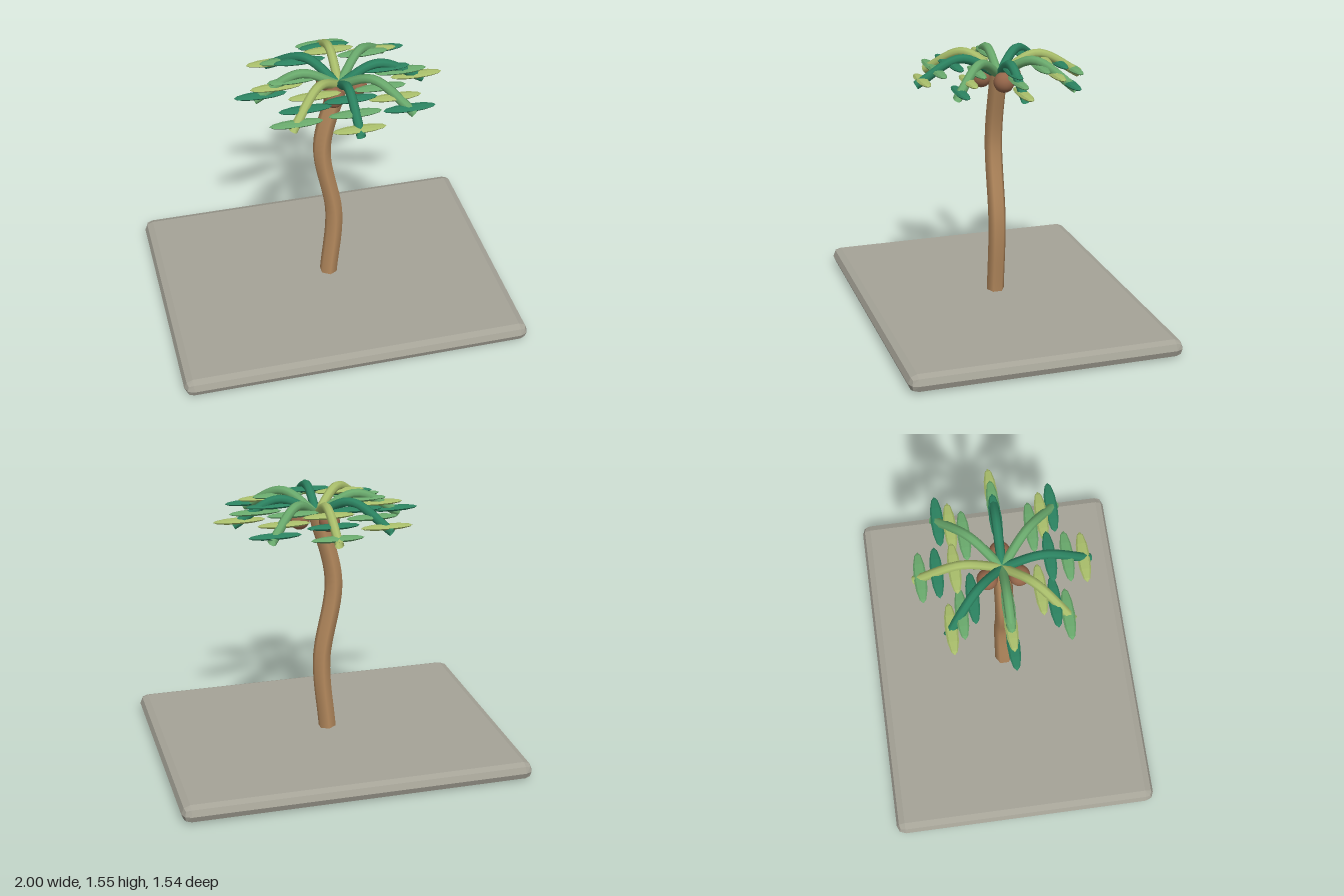
import * as THREE from 'three';
import { RoundedBoxGeometry } from 'three/addons/geometries/RoundedBoxGeometry.js';

const material = (name, color, side = THREE.FrontSide) => {
  const m = new THREE.MeshStandardMaterial({ color, side });
  m.name = name;
  return m;
};

const flat = (geometry) => {
  const g = geometry.index ? geometry.toNonIndexed() : geometry;
  g.computeVertexNormals();
  return g;
};

const curve = (points) =>
  new THREE.CatmullRomCurve3(points.map(([x, y]) => new THREE.Vector3(x, y, 0)));

export function createModel() {
  const model = new THREE.Group();
  model.name = 'palmTree';

  const stone = material('stone', 0xa5a397);
  const bark = material('bark', 0xb58a5e, THREE.DoubleSide);
  const husk = material('husk', 0x95664a);
  const greens = [
    material('darkGreen', 0x2b8260, THREE.DoubleSide),
    material('midGreen', 0x69a96c, THREE.DoubleSide),
    material('lightGreen', 0xa8bd6a, THREE.DoubleSide),
  ];

  const add = (parent, name, geometry, mat, x = 0, y = 0, z = 0) => {
    const mesh = new THREE.Mesh(geometry, mat);
    mesh.name = name;
    mesh.position.set(x, y, z);
    parent.add(mesh);
    return mesh;
  };

  // Ground slab with chamfered edges
  add(model, 'base', flat(new RoundedBoxGeometry(2, 0.1, 1.544, 1, 0.05)), stone, 0, 0.05, 0);

  // S-curved six-sided trunk
  const trunkPath = curve([[0, 0.113], [0.033, 0.54], [-0.037, 1.02], [0.06, 1.43]]);
  add(model, 'trunk', new THREE.TubeGeometry(trunkPath, 32, 0.052, 6), bark);

  // Crown, centred over the top of the trunk
  const crown = new THREE.Group();
  crown.name = 'crown';
  crown.position.x = 0.06;
  model.add(crown);

  // Three coconuts
  const nut = new THREE.SphereGeometry(0.058, 20, 14);
  for (let i = 0; i < 3; i++) {
    const a = (i * Math.PI * 2) / 3;
    add(crown, 'coconut', nut, husk, 0.1 * Math.cos(a), 1.4, 0.1 * Math.sin(a));
  }

  // Eight arched fronds, each with three cross leaves that all lie along x
  const frond = new THREE.TubeGeometry(
    curve([[0, 1.42], [0.22, 1.525], [0.475, 1.395]]), 16, 0.026, 8);
  const leaf = flat(new THREE.SphereGeometry(1, 8, 6).rotateZ(Math.PI / 2).scale(0.147, 0.017, 0.035));
  const leafSpots = [[0.255, 1.49], [0.35, 1.46], [0.44, 1.42]];
  for (let k = 0; k < 8; k++) {
    const a = (k * Math.PI) / 4;
    add(crown, 'frond', frond, greens[k % 3]).rotation.y = a;
    leafSpots.forEach(([r, y], j) =>
      add(crown, 'leaf', leaf, greens[(k + j) % 3], r * Math.cos(a), y, -r * Math.sin(a)));
  }

  return model;
}
